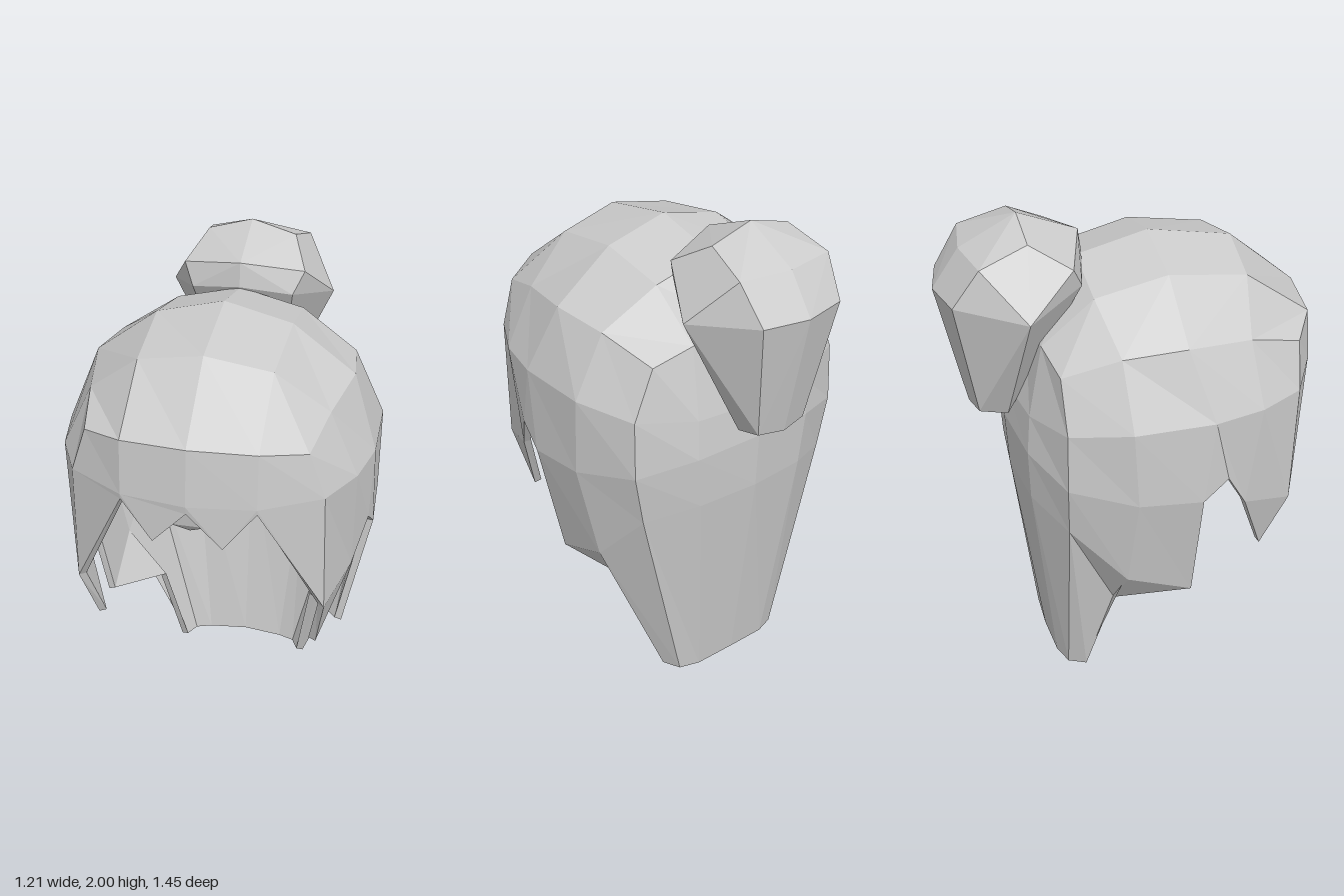
import * as THREE from 'three';
import { ConvexGeometry } from 'three/addons/geometries/ConvexGeometry.js';

const mirrorX = ([x, y, z]) => [-x, y, z];

// Turns outer polygons into a closed shell of the given thickness, with a rim on open edges.
function solidify(polys, thickness) {
  const normals = new Map(), edges = new Set(), out = [];
  const vec = (p) => new THREE.Vector3(...p);
  for (const poly of polys) {
    const n = new THREE.Vector3();
    for (let i = 1; i < poly.length - 1; i++) {
      const a = vec(poly[0]);
      n.add(vec(poly[i]).sub(a).cross(vec(poly[i + 1]).sub(a)));
    }
    n.normalize();
    poly.forEach((p, i) => {
      const key = p.join();
      if (!normals.has(key)) normals.set(key, new THREE.Vector3());
      normals.get(key).add(n);
      edges.add(key + '|' + poly[(i + 1) % poly.length].join());
    });
  }
  const inner = (p) => {
    const q = vec(p).addScaledVector(normals.get(p.join()).clone().normalize(), -thickness);
    return [q.x, Math.max(q.y, 0), q.z];
  };
  const emit = (poly) => {
    for (let i = 1; i < poly.length - 1; i++) out.push(...poly[0], ...poly[i], ...poly[i + 1]);
  };
  for (const poly of polys) {
    emit(poly);
    emit(poly.map(inner).reverse());
    poly.forEach((a, i) => {
      const b = poly[(i + 1) % poly.length];
      if (!edges.has(b.join() + '|' + a.join())) emit([b, a, inner(a), inner(b)]);
    });
  }
  const geometry = new THREE.BufferGeometry();
  geometry.setAttribute('position', new THREE.Float32BufferAttribute(out, 3));
  geometry.computeVertexNormals();
  return geometry;
}

function hairShell() {
  const polys = [];
  const add = (...poly) => polys.push(poly, poly.map(mirrorX).reverse());
  // joins two equally long rows, upper above lower
  const band = (upper, lower) => {
    for (let i = 0; i < upper.length - 1; i++) add(upper[i], lower[i], lower[i + 1], upper[i + 1]);
  };

  // crown: rows from forehead to back, each from the middle to the side
  const crown = [
    [[0, 1.57, 0.705], [0.25, 1.56, 0.67], [0.41, 1.53, 0.57]],
    [[0, 1.8, 0.435], [0.25, 1.75, 0.41], [0.45, 1.59, 0.36]],
    [[0, 1.865, 0.1], [0.26, 1.8, 0.1], [0.5, 1.62, 0.1]],
    [[0, 1.8, -0.18], [0.25, 1.74, -0.18], [0.47, 1.6, -0.14]],
    [[0, 1.58, -0.38], [0.24, 1.57, -0.38], [0.4, 1.52, -0.35]],
  ];
  for (let r = 0; r < 4; r++) band(crown[r + 1], crown[r]);

  // temple ring, from the middle of the front round to the middle of the back
  const edge = [...crown[0], crown[1][2], crown[2][2], crown[3][2], ...crown[4].slice().reverse()];
  const ring = [
    [0, 1.35, 0.725], [0.25, 1.35, 0.69], [0.47, 1.35, 0.56], [0.56, 1.35, 0.38], [0.6, 1.35, 0.18],
    [0.59, 1.35, -0.13], [0.485, 1.32, -0.35], [0.26, 1.29, -0.44], [0, 1.29, -0.47],
  ];
  band(edge, ring);

  // fringe points
  const notch = [0, 1.32, 0.722], point = [0.13, 1.18, 0.71], part = [0.25, 1.33, 0.688];
  add(ring[0], notch, point, ring[1]);
  add(ring[1], point, part);

  // pointed side lock in front of the ear
  const lockFront = [0.48, 0.86, 0.545], lockTip = [0.44, 0.62, 0.45], lockBack = [0.55, 0.93, 0.33];
  const earTop = [0.595, 1.09, 0.24], earBack = [0.605, 1.01, 0.14];
  add(ring[1], part, lockFront, ring[2]);
  add(ring[2], lockFront, lockBack, ring[3]);
  add(lockFront, lockTip, lockBack);
  add(ring[3], lockBack, earTop, ring[4]);
  add(ring[4], earTop, earBack);

  // side and back lengths
  const nape = [earBack, [0.59, 1.03, -0.11], [0.49, 1.08, -0.355], [0.27, 1.13, -0.455], [0, 1.15, -0.485]];
  const low = [[0.5, 0.5, 0.14], [0.51, 0.62, -0.13], [0.45, 0.86, -0.345], [0.25, 0.91, -0.445], [0, 0.92, -0.473]];
  const hem = [[0.285, 0, -0.245], [0.25, 0, -0.315], [0.17, 0.005, -0.345], [0, 0.015, -0.355]];
  const corner = [0.35, 0.4, -0.14];
  band(ring.slice(4), nape);
  band(nape, low);
  add(low[0], corner, low[1]);
  add(low[1], corner, hem[0], hem[1], low[2]);
  band(low.slice(2), hem.slice(1));

  return solidify(polys, 0.03);
}

// convex lump from the points of one half
function lump(half) {
  return new ConvexGeometry([...half, ...half.filter((p) => p[0]).map(mirrorX)].map((p) => new THREE.Vector3(...p)));
}

export function createModel() {
  const group = new THREE.Group();
  group.name = 'hairstyle';
  const material = new THREE.MeshStandardMaterial({ color: 0xcccccc, flatShading: true });
  const part = (name, geometry) => {
    const mesh = new THREE.Mesh(geometry, material);
    mesh.name = name;
    group.add(mesh);
  };

  part('hairShell', hairShell());

  // bun: front, top, back, then its narrow lower end
  part('bun', lump([
    [0, 1.81, -0.158], [0.2, 1.775, -0.21],
    [0, 1.905, -0.17], [0.24, 1.86, -0.25],
    [0, 2, -0.4], [0.175, 1.95, -0.4],
    [0.33, 1.71, -0.435], [0.205, 1.89, -0.585],
    [0, 1.89, -0.62], [0, 1.74, -0.725], [0.18, 1.74, -0.685],
    [0, 1.24, -0.62], [0.11, 1.25, -0.6],
    [0, 1.195, -0.51], [0.11, 1.22, -0.49],
  ]));

  // small tuft behind the middle of the fringe
  part('fringeTuft', lump([[0.065, 1.25, 0.69], [0, 1.31, 0.7], [0, 1.215, 0.665], [0, 1.29, 0.67]]));
  return group;
}
